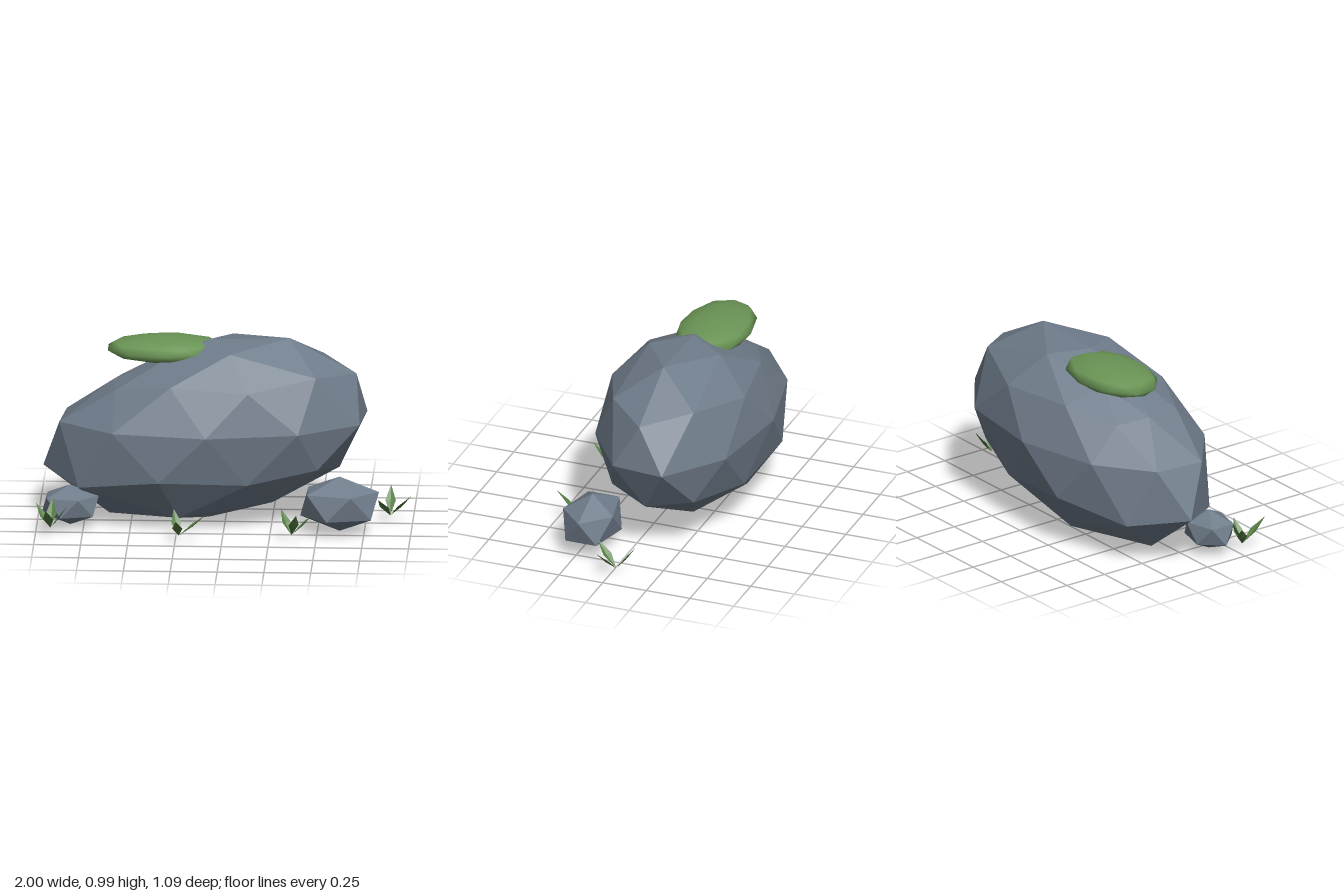
import * as THREE from 'three';
import { mergeVertices } from 'three/addons/utils/BufferGeometryUtils.js';

const stone = new THREE.MeshStandardMaterial({ color: 0x6f7c8a, flatShading: true });
const moss = new THREE.MeshStandardMaterial({ color: 0x6a9455 });
const leaf = new THREE.MeshStandardMaterial({ color: 0x567f44, flatShading: true, side: THREE.DoubleSide });

// Icosphere with a vertex at the top and an upper ring vertex towards +x
function icoBall(detail) {
  const g = new THREE.IcosahedronGeometry(1, detail);
  g.rotateZ(-Math.atan(2 / (1 + Math.sqrt(5))));
  return g;
}

function addMesh(parent, name, geometry, material, position) {
  const mesh = new THREE.Mesh(geometry, material);
  mesh.name = name;
  mesh.position.set(...position);
  parent.add(mesh);
  return mesh;
}

// Large stone: swollen at lower left, flattened at upper left, slimmer at the back left
function boulderGeometry() {
  const g = icoBall(1);
  const p = g.attributes.position;
  for (let i = 0; i < p.count; i++) {
    const x = p.getX(i), y = p.getY(i), z = p.getZ(i);
    const f = 0.98 + 0.03 * x - 0.12 * y + 0.3 * x * y - 0.07 * y * y - 0.1 * x * x * y - 0.06 * x * z;
    p.setXYZ(i, x * f * 0.86, y * f * 0.54, z * f * 0.47);
  }
  g.computeVertexNormals();
  return g;
}

function pebbleGeometry(rx, ry, rz) {
  const g = icoBall(0).scale(rx, ry, rz);
  g.computeVertexNormals();
  return g;
}

// Smooth flattened cushion
function mossGeometry() {
  let g = icoBall(1).scale(0.325, 0.068, 0.2);
  g.deleteAttribute('normal');
  g.deleteAttribute('uv');
  g = mergeVertices(g, 1e-4);
  g.computeVertexNormals();
  return g;
}

// Broad, slightly folded leaf from the root to a tip given as [x, height, z]
function bladeGeometry([tx, ty, tz]) {
  const side = new THREE.Vector3(-tz, 0, tx).normalize().multiplyScalar(0.028);
  const tip = new THREE.Vector3(tx, ty, tz);
  const ridge = new THREE.Vector3(tx * 0.5, ty * 0.43, tz * 0.5);
  const edge = new THREE.Vector3(tx * 0.47, ty * 0.5, tz * 0.47);
  const left = edge.clone().add(side), right = edge.clone().sub(side);
  const root = new THREE.Vector3();
  const g = new THREE.BufferGeometry().setFromPoints([
    root, left, ridge, left, tip, ridge,
    root, ridge, right, right, ridge, tip,
  ]);
  g.computeVertexNormals();
  return g;
}

export function createModel() {
  const model = new THREE.Group();
  model.name = 'mossyBoulder';

  addMesh(model, 'boulder', boulderGeometry(), stone, [-0.09, 0.56, -0.09]);
  addMesh(model, 'leftPebble', pebbleGeometry(0.235, 0.15, 0.168), stone, [0.62, 0.168, 0.208]);
  addMesh(model, 'rightPebble', pebbleGeometry(0.17, 0.11, 0.135), stone, [-0.82, 0.13, 0.145]);
  addMesh(model, 'mossCushion', mossGeometry(), moss, [-0.32, 0.925, -0.13]);

  // Grass tufts: position on the ground and the leaf tips around it
  const tufts = [
    { at: [-0.92, 0.04, 0.29], tips: [[0.09, 0.12, 0.01], [-0.02, 0.13, 0.14], [-0.08, 0.12, -0.06], [0.01, 0.15, -0.07]] },
    { at: [-0.23, 0.04, 0.42], tips: [[0.15, 0.12, 0], [-0.01, 0.11, 0.12], [-0.03, 0.13, -0.07]] },
    { at: [0.37, 0.04, 0.38], tips: [[0.12, 0.12, 0], [0.03, 0.14, 0.12], [-0.06, 0.13, -0.06]] },
    { at: [0.88, 0.04, -0.03], tips: [[0.12, 0.13, 0.07], [-0.06, 0.12, 0.13], [0, 0.14, -0.11]] },
  ];
  for (const { at, tips } of tufts) {
    const tuft = new THREE.Group();
    tuft.name = 'grassTuft';
    tuft.position.set(...at);
    for (const tip of tips) addMesh(tuft, 'grassBlade', bladeGeometry(tip), leaf, [0, 0, 0]);
    model.add(tuft);
  }
  return model;
}
